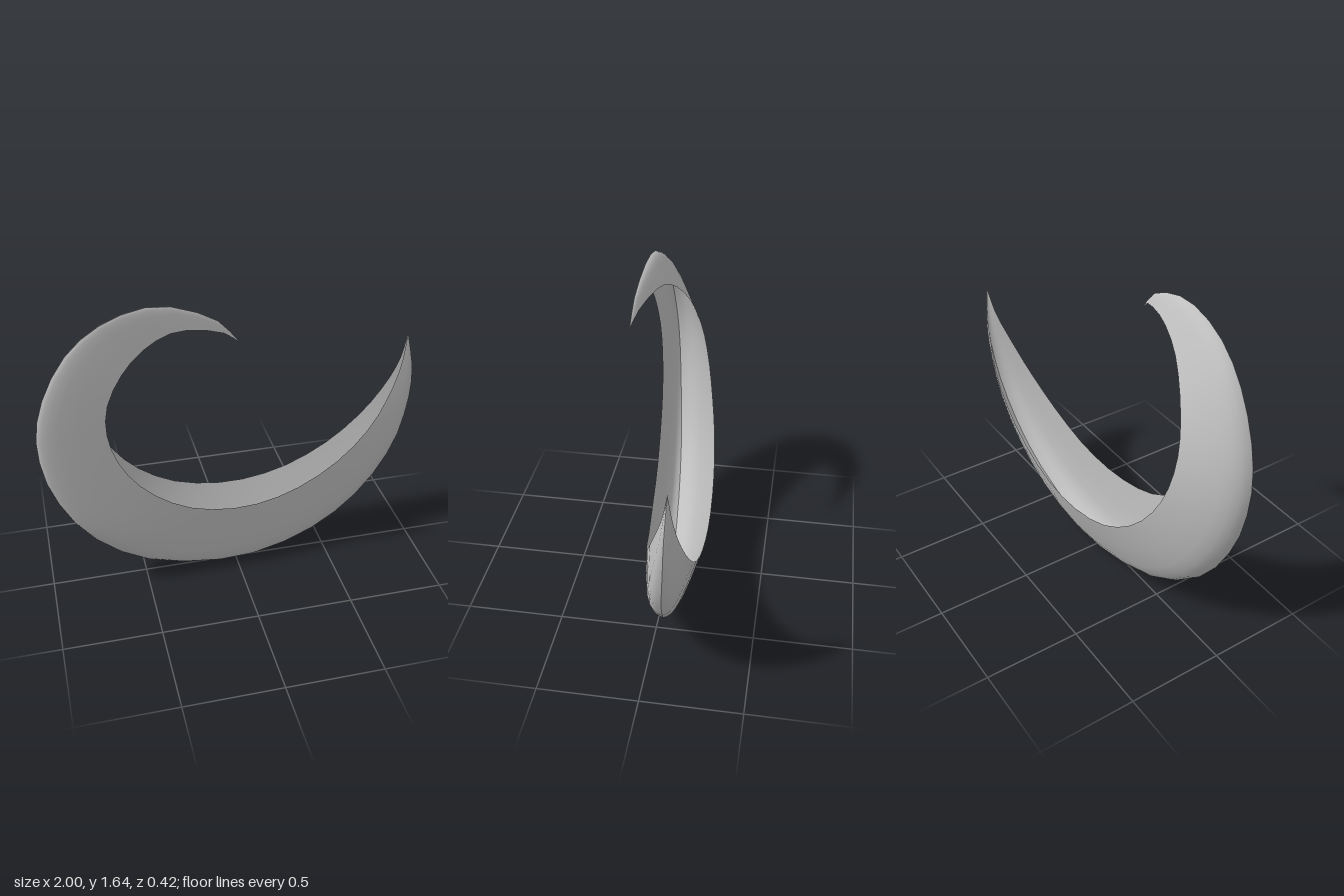
import * as THREE from 'three';

const STEPS = 36;

// Stations from the hooked upper tip to the long lower tip:
// [keel x, y, z, inner edge x, y, front edge z, back edge z]
const stations = [
  [-0.025, 1.435, 0.21, -0.025, 1.435, 0.21, 0.21],
  [-0.15, 1.57, 0.2, -0.12, 1.5, 0.205, 0.17],
  [-0.4, 1.65, 0.18, -0.31, 1.52, 0.19, 0.105],
  [-0.64, 1.59, 0.17, -0.46, 1.45, 0.18, 0.055],
  [-0.83, 1.43, 0.15, -0.58, 1.32, 0.175, -0.005],
  [-0.96, 1.18, 0.13, -0.66, 1.14, 0.165, -0.06],
  [-1.0, 0.92, 0.11, -0.66, 0.95, 0.155, -0.1],
  [-0.94, 0.62, 0.09, -0.59, 0.76, 0.145, -0.135],
  [-0.76, 0.31, 0.06, -0.45, 0.59, 0.135, -0.17],
  [-0.45, 0.09, 0.03, -0.24, 0.46, 0.12, -0.195],
  [0.0, 0.0, -0.005, 0.03, 0.41, 0.1, -0.21],
  [0.4, 0.08, -0.04, 0.3, 0.45, 0.07, -0.213],
  [0.7, 0.27, -0.07, 0.55, 0.57, 0.035, -0.21],
  [0.9, 0.53, -0.095, 0.74, 0.73, -0.01, -0.2],
  [0.985, 0.78, -0.115, 0.86, 0.9, -0.06, -0.175],
  [1.0, 0.99, -0.125, 0.93, 1.05, -0.105, -0.155],
  [0.96, 1.205, -0.135, 0.96, 1.205, -0.135, -0.135],
];

// Wall profiles from keel to edge: [share of radial depth, share of sideways spread]
const frontProfile = [[0, 0], [0.025, 0.24], [0.07, 0.45], [0.16, 0.65], [0.3, 0.81], [0.6, 0.93], [1, 1]];
const backProfile = [[0, 0], [0.02, 0.12], [0.06, 0.25], [0.14, 0.39], [0.27, 0.54], [0.55, 0.77], [0.88, 1]];

const curve = (pick) => new THREE.CatmullRomCurve3(
  stations.map((s) => new THREE.Vector3(...pick(s))), false, 'catmullrom', 0.5);

// Loft one curved wall between the keel and an edge curve
function wallGeometry(keel, edge, profile, flip) {
  const pos = [], index = [];
  const n = profile.length;
  for (let i = 0; i <= STEPS; i++) {
    const k = keel.getPoint(i / STEPS);
    const e = edge.getPoint(i / STEPS);
    for (const [depth, spread] of profile) {
      pos.push(k.x + (e.x - k.x) * depth, k.y + (e.y - k.y) * depth, k.z + (e.z - k.z) * spread);
    }
  }
  for (let i = 0; i < STEPS; i++) {
    for (let j = 0; j < n - 1; j++) {
      const a = i * n + j, b = a + n, c = b + 1, d = a + 1;
      if (flip) index.push(a, c, b, a, d, c);
      else index.push(a, b, c, a, c, d);
    }
  }
  const geo = new THREE.BufferGeometry();
  geo.setAttribute('position', new THREE.Float32BufferAttribute(pos, 3));
  geo.setIndex(index);
  geo.computeVertexNormals();
  return geo;
}

export function createModel() {
  const group = new THREE.Group();
  group.name = 'crescentShell';
  const grey = new THREE.MeshStandardMaterial({ color: 0xbfbfbf, side: THREE.DoubleSide });
  grey.name = 'grey';

  const keel = curve((s) => [s[0], s[1], s[2]]);
  const frontEdge = curve((s) => [s[3], s[4], s[5]]);
  const backEdge = curve((s) => [s[3], s[4], s[6]]);

  // Two thin walls meet at the outer keel and leave the inner side open
  const front = new THREE.Mesh(wallGeometry(keel, frontEdge, frontProfile, false), grey);
  front.name = 'frontWall';
  const back = new THREE.Mesh(wallGeometry(keel, backEdge, backProfile, true), grey);
  back.name = 'backWall';
  group.add(front, back);
  return group;
}
